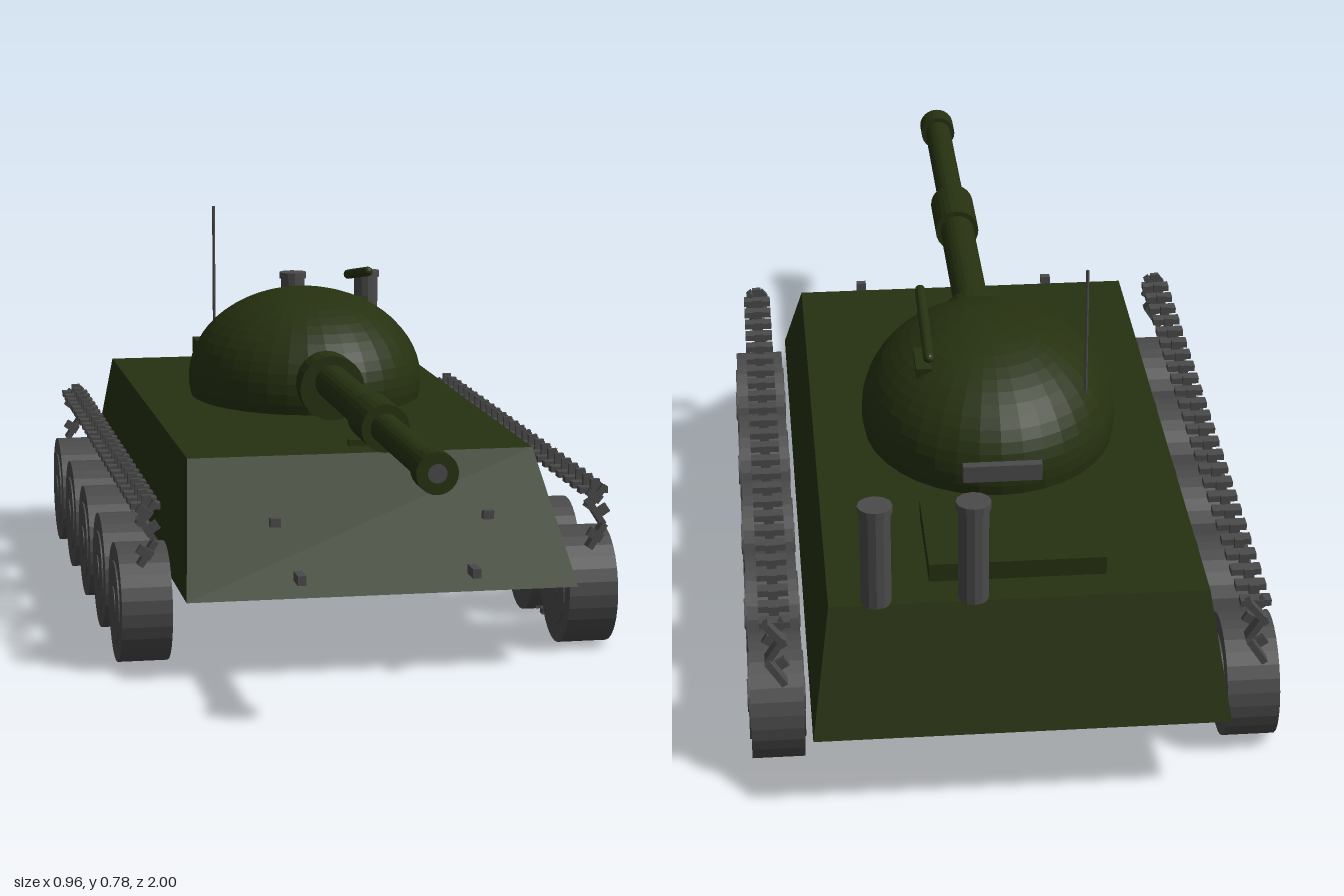
import * as THREE from 'three';

export function createModel() {
  const model = new THREE.Group();
  const green = new THREE.MeshStandardMaterial({ color: 0x263110, flatShading: true });
  green.name = 'olive green';
  const grey = new THREE.MeshStandardMaterial({ color: 0x4a4a4a, flatShading: true });
  grey.name = 'steel grey';

  function add(name, geometry, material, x, y, z, parent = model) {
    const mesh = new THREE.Mesh(geometry, material);
    mesh.name = name;
    mesh.position.set(x, y, z);
    parent.add(mesh);
    return mesh;
  }
  const box = (w, h, d) => new THREE.BoxGeometry(w, h, d);
  // Cylinder lying along z
  const rodZ = (r, length, sides = 24) =>
    new THREE.CylinderGeometry(r, r, length, sides).rotateX(Math.PI / 2);

  // Hull: a box tapered to sloping front, sides and rear
  const hull = box(1, 1, 1);
  const p = hull.attributes.position;
  for (let i = 0; i < p.count; i++) {
    const top = p.getY(i) > 0;
    const front = p.getZ(i) > 0;
    p.setXYZ(i,
      Math.sign(p.getX(i)) * (top ? 0.334 : 0.368),
      top ? 0.381 : 0.156,
      front ? (top ? 0.33 : 0.556) : (top ? -0.92 : -0.998));
  }
  hull.computeVertexNormals();
  add('hull', hull, green, 0, 0, 0);

  // Turret dome, cut just below its widest level and closed underneath
  const turret = new THREE.Group();
  turret.name = 'turret';
  model.add(turret);
  const cut = Math.PI / 2 + 0.19;
  const dome = new THREE.SphereGeometry(1, 36, 16, 0, Math.PI * 2, 0, cut);
  dome.scale(0.241, 0.187, 0.288);
  add('turretDome', dome, green, 0, 0.43, -0.297, turret);
  const base = new THREE.CircleGeometry(Math.sin(cut), 36).rotateX(Math.PI / 2);
  base.scale(0.241, 1, 0.288);
  add('turretBase', base, green, 0, 0.43 + 0.187 * Math.cos(cut), -0.297, turret);

  // Gun: mantlet, barrel sections, sleeve and muzzle
  const gun = [
    ['mantlet', 0.065, -0.07, 0.027, 0.456],
    ['barrelRear', 0.035, 0.0, 0.43, 0.468],
    ['barrelSleeve', 0.045, 0.42, 0.56, 0.468],
    ['barrelFront', 0.028, 0.55, 0.96, 0.468],
    ['muzzle', 0.037, 0.95, 1.0, 0.468],
  ];
  for (const [name, r, z0, z1, y] of gun) {
    add(name, rodZ(r, z1 - z0), green, 0, y, (z0 + z1) / 2, turret);
  }
  add('bore', new THREE.CircleGeometry(0.017, 20), grey, 0, 0.468, 1.001, turret);

  // Roof gun on its mount, aerial and rear stowage rack
  const roofGun = add('roofGun', new THREE.CapsuleGeometry(0.01, 0.22, 4, 12).rotateX(Math.PI / 2),
    green, 0.124, 0.638, -0.35, turret);
  roofGun.rotation.x = -0.15;
  const mount = add('roofGunMount', box(0.03, 0.02, 0.07), green, 0.13, 0.574, -0.385, turret);
  mount.rotation.x = -0.15;
  add('aerial', new THREE.CylinderGeometry(0.003, 0.003, 0.395, 8), grey, -0.17, 0.578, -0.435, turret);
  add('stowageRack', box(0.145, 0.032, 0.018), grey, 0, 0.453, -0.595, turret);

  // Rear deck: engine hatch with slats beneath, and twin exhausts
  add('engineHatch', box(0.312, 0.034, 0.225), green, 0, 0.416, -0.767);
  for (let i = 0; i < 5; i++) {
    add('grilleSlat', box(0.2, 0.008, 0.01), grey, 0, 0.396, -0.625 - i * 0.058);
  }
  for (const x of [0.08, 0.25]) {
    add('exhaustPipe', new THREE.CylinderGeometry(0.027, 0.027, 0.185, 12), grey, x, 0.472, -0.905);
    add('exhaustCap', new THREE.CylinderGeometry(0.031, 0.031, 0.014, 12), grey, x, 0.565, -0.905);
  }
  add('periscope', box(0.04, 0.012, 0.015), green, 0, 0.396, 0.3);

  // Running gear, the same on both sides
  const tyre = new THREE.CylinderGeometry(0.113, 0.113, 0.095, 28).rotateZ(Math.PI / 2);
  const disc = new THREE.CylinderGeometry(0.078, 0.078, 0.101, 24).rotateZ(Math.PI / 2);
  const hub = new THREE.CylinderGeometry(0.03, 0.03, 0.105, 16).rotateZ(Math.PI / 2);
  const plate = box(0.055, 0.012, 0.024);
  const tooth = box(0.018, 0.03, 0.01);

  for (const side of [-1, 1]) {
    const gear = new THREE.Group();
    gear.name = side > 0 ? 'leftRunningGear' : 'rightRunningGear';
    model.add(gear);
    const x = side * 0.427;
    for (let i = 0; i < 5; i++) {
      const z = 0.34 - i * 0.279;
      add('wheel', tyre, grey, x, 0.113, z, gear);
      add('wheelDisc', disc, grey, x, 0.113, z, gear);
      add('wheelHub', hub, grey, x, 0.113, z, gear);
    }

    const link = (y, z, roll, flip = 1) => {
      const g = new THREE.Group();
      g.name = 'trackLink';
      g.position.set(x, y, z);
      g.rotation.z = roll;
      add('linkPlate', plate, grey, 0, 0, 0, g);
      add('linkTooth', tooth, grey, 0, flip * 0.008, 0.016, g);
      gear.add(g);
    };
    // Upper run, lower run and the hanging ends
    for (let i = 0; i < 25; i++) link(0.315, 0.43 - i * 0.0535, 0);
    for (let i = 0; i < 20; i++) link(0.016, 0.27 - i * 0.055, 0, 0.2);
    for (const z of [0.45, -0.875]) {
      link(0.305, z, 0.9);
      link(0.275, z, -1.0);
      link(0.232, z + 0.01 * Math.sign(z), 1.0);
    }

    // Headlamps and tow hooks at the bow
    add('headlamp', box(0.02, 0.016, 0.016), grey, side * 0.2, 0.295, 0.53);
    add('towHook', box(0.016, 0.018, 0.045), grey, side * 0.163, 0.2, 0.582);
  }
  return model;
}
